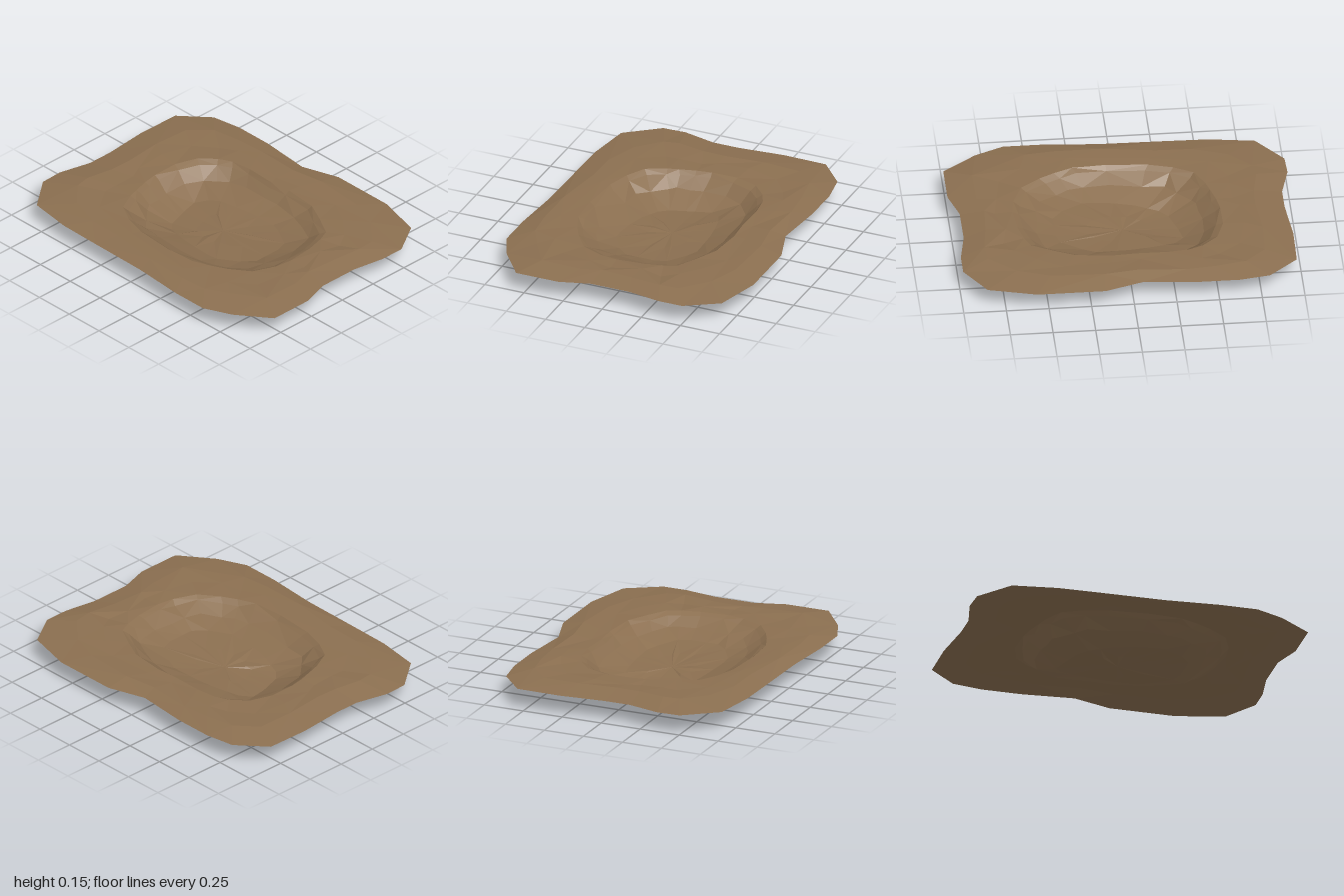
import * as THREE from 'three';

// Ragged outer edge of the ground patch, [x, z], starting at the back
const EDGE = [[-0.36, -1], [-0.16, -0.95], [0, -0.95], [0.28, -0.975], [0.55, -0.97], [0.7, -0.8], [0.73, -0.62],
  [0.73, -0.38], [0.7, -0.06], [0.775, 0.17], [0.775, 0.57], [0.7, 0.855], [0.5, 0.98], [0.35, 0.98], [0.15, 0.945],
  [-0.1, 0.945], [-0.28, 1], [-0.55, 1], [-0.7, 0.8], [-0.775, 0.63], [-0.775, 0.4], [-0.75, 0.08], [-0.745, -0.3],
  [-0.74, -0.57], [-0.7, -0.84], [-0.5, -0.995]];

// Pit outlines from the lip down to the floor, [x, z, y]
const LIP = [[0.27, -0.56, 0.14], [0.4, -0.42, 0.142], [0.44, -0.3, 0.145], [0.43, 0, 0.14], [0.46, 0.23, 0.145],
  [0.37, 0.42, 0.142], [0.28, 0.58, 0.14], [0, 0.65, 0.14], [-0.28, 0.61, 0.138], [-0.42, 0.42, 0.14],
  [-0.5, 0.22, 0.142], [-0.5, -0.1, 0.14], [-0.46, -0.3, 0.14], [-0.36, -0.48, 0.142], [-0.1, -0.555, 0.14],
  [0.08, -0.585, 0.14]];
const WALL = [[0.2, -0.46, 0.06], [0.34, -0.3, 0.07], [0.36, -0.05, 0.07], [0.35, 0.22, 0.075], [0.25, 0.46, 0.075],
  [0, 0.52, 0.08], [-0.25, 0.46, 0.075], [-0.38, 0.22, 0.07], [-0.39, -0.05, 0.07], [-0.35, -0.3, 0.065],
  [-0.2, -0.44, 0.06], [0.05, -0.47, 0.07]];
const FLOOR = [[0.14, -0.35, 0.01], [0.2, -0.22, 0.03], [0.23, -0.05, 0.03], [0.24, 0.2, 0.033], [0.12, 0.4, 0.045],
  [-0.15, 0.4, 0.045], [-0.27, 0.2, 0.04], [-0.25, -0.05, 0.03], [-0.18, -0.27, 0], [0.04, -0.34, 0]];

// Where the ray from the centre through (dx, dz) crosses a closed outline
function hit(outline, [dx, dz]) {
  for (let i = 0; i < outline.length; i++) {
    const a = outline[i], b = outline[(i + 1) % outline.length];
    const ca = dx * a[1] - dz * a[0], cb = dx * b[1] - dz * b[0];
    if (ca * cb > 0 || ca === cb) continue;
    const t = ca / (ca - cb);
    const p = a.map((v, k) => v + (b[k] - v) * t);
    if (p[0] * dx + p[1] * dz > 0) return new THREE.Vector3(p[0], p[2], p[1]);
  }
  return new THREE.Vector3();
}

export function createModel() {
  const soil = new THREE.MeshStandardMaterial({ color: 0x8b6f50, flatShading: true, side: THREE.DoubleSide });
  soil.name = 'soil';

  let seed = 7;
  const jitter = (amount) => {
    seed = (seed * 16807) % 2147483647;
    return (seed / 2147483647 - 0.5) * 2 * amount;
  };
  const rough = (ring, flat, high) => ring.map((p) =>
    new THREE.Vector3(p.x + jitter(flat), p.y + jitter(high), p.z + jitter(flat)));
  const blend = (a, b, t) => a.map((p, i) => p.clone().lerp(b[i], t));
  const level = (ring, y) => ring.map((p) => new THREE.Vector3(p.x, y, p.z));

  const edge = EDGE.map(([x, z]) => new THREE.Vector3(x, 0.12, z));
  const [lip, wall, floor] = [LIP, WALL, FLOOR].map((outline) => EDGE.map((d) => hit(outline, d)));
  const centre = new THREE.Vector3(0, 0.018, 0);

  // Rings from the outer edge inwards
  const bankRings = [
    edge,
    rough(level(blend(edge, lip, 0.42), 0.145), 0.025, 0.005),
    rough(level(blend(edge, lip, 0.72), 0.141), 0.02, 0.006),
    lip,
  ];
  const pitRings = [
    lip,
    rough(blend(lip, wall, 0.3), 0.008, 0.006),
    rough(wall, 0.012, 0.006),
    floor,
    rough(blend(floor, floor.map(() => centre), 0.5), 0.015, 0.003),
    floor.map(() => centre),
  ];

  // Skin neighbouring rings with triangles
  function skin(rings, name) {
    const points = [];
    for (let r = 0; r + 1 < rings.length; r++) {
      for (let i = 0; i < edge.length; i++) {
        const j = (i + 1) % edge.length;
        const [a, b, c, d] = [rings[r][i], rings[r][j], rings[r + 1][i], rings[r + 1][j]];
        if (c === d) points.push(a, c, b);
        else if ((i + r) % 2) points.push(a, c, b, b, c, d);
        else points.push(a, c, d, a, d, b);
      }
    }
    const geometry = new THREE.BufferGeometry().setFromPoints(points);
    geometry.computeVertexNormals();
    const mesh = new THREE.Mesh(geometry, soil);
    mesh.name = name;
    return mesh;
  }

  const group = new THREE.Group();
  group.name = 'dirtPit';
  group.add(skin(bankRings, 'raisedBank'), skin(pitRings, 'pit'));
  return group;
}
